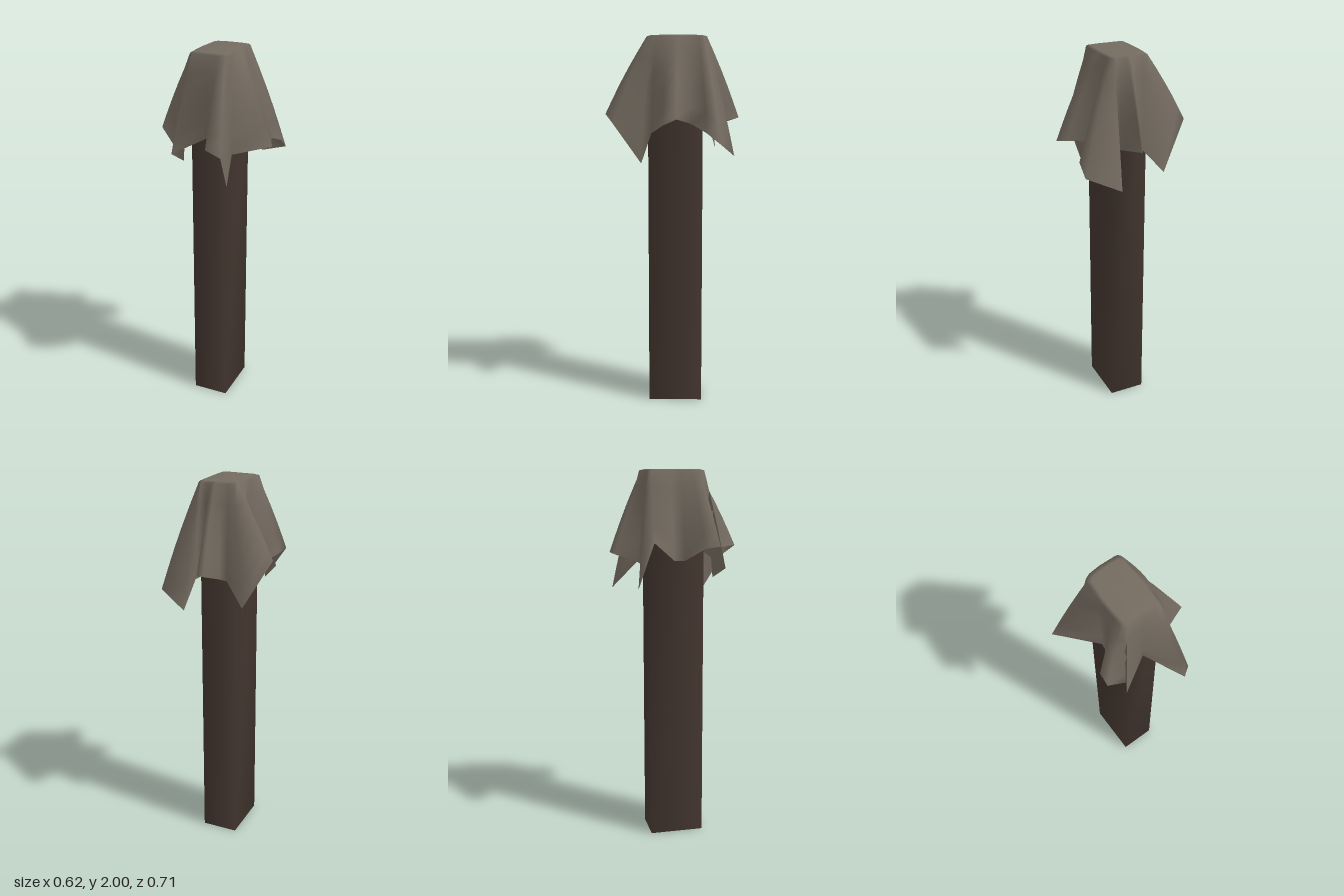
import * as THREE from 'three';
import { mergeVertices } from 'three/addons/utils/BufferGeometryUtils.js';

// Hem of the cloth, once round from the front towards +x:
// [hem x, y, z, rim x, rim z]; outer points are folds, inner points lie against the post
const HEM = [
  [-0.01, 1.57, 0.145, -0.01, 0.132],
  [0.08, 1.59, 0.355, 0.05, 0.136],
  [0.14, 1.54, 0.31, 0.085, 0.132],
  [0.11, 1.33, 0.165, 0.1, 0.12],
  [0.115, 1.49, 0.11, 0.103, 0.09],
  [0.307, 1.54, 0.045, 0.105, 0.03],
  [0.275, 1.57, -0.025, 0.104, -0.03],
  [0.113, 1.54, -0.1, 0.102, -0.09],
  [0.275, 1.5, -0.18, 0.1, -0.14],
  [0.275, 1.44, -0.255, 0.095, -0.165],
  [0.11, 1.37, -0.33, 0.085, -0.178],
  [0.105, 1.5, -0.2, 0.075, -0.182],
  [0.05, 1.53, -0.187, 0.05, -0.183],
  [0.02, 1.57, -0.355, 0.02, -0.184],
  [0, 1.56, -0.33, 0, -0.184],
  [-0.035, 1.52, -0.215, -0.03, -0.183],
  [-0.07, 1.51, -0.2, -0.07, -0.18],
  [-0.17, 1.39, -0.237, -0.095, -0.17],
  [-0.31, 1.64, -0.18, -0.105, -0.155],
  [-0.125, 1.53, -0.035, -0.113, -0.06],
  [-0.13, 1.53, 0.02, -0.114, 0],
  [-0.235, 1.6, 0.105, -0.112, 0.06],
  [-0.245, 1.61, 0.18, -0.11, 0.1],
  [-0.13, 1.44, 0.17, -0.108, 0.122],
  [-0.17, 1.49, 0.23, -0.095, 0.13],
];
const RIM_Y = 1.993;
const ROWS = 5;

function clothGeometry() {
  const n = HEM.length;
  const pos = [0, 2, -0.02];
  const index = [];
  // inner ring of the flat top
  for (const [, , , rx, rz] of HEM) pos.push(rx * 0.85, 2, (rz + 0.02) * 0.85 - 0.02);
  // rings running from the rim down to the hem
  for (let r = 0; r <= ROWS; r++) {
    const t = r / ROWS;
    const out = t + 0.04 * Math.sin(Math.PI * t);
    for (const [x, y, z, rx, rz] of HEM) {
      pos.push(rx + (x - rx) * out, RIM_Y + (y - RIM_Y) * t, rz + (z - rz) * out);
    }
  }
  for (let i = 0; i < n; i++) {
    const k = (i + 1) % n;
    index.push(0, 1 + i, 1 + k);
    for (let r = 0; r <= ROWS; r++) {
      const a = 1 + r * n, b = a + n;
      index.push(a + i, b + i, a + k, a + k, b + i, b + k);
    }
  }
  const g = new THREE.BufferGeometry();
  g.setAttribute('position', new THREE.Float32BufferAttribute(pos, 3));
  g.setIndex(index);
  g.computeVertexNormals();
  return g;
}

// Plain box with shared corners, so its shading runs softly round the edges
function postGeometry() {
  const box = new THREE.BoxGeometry(0.194, 1.985, 0.29);
  box.deleteAttribute('normal');
  box.deleteAttribute('uv');
  const g = mergeVertices(box);
  g.computeVertexNormals();
  return g;
}

export function createModel() {
  const wood = new THREE.MeshStandardMaterial({ color: 0x42352e });
  wood.name = 'dark wood';
  const fabric = new THREE.MeshStandardMaterial({ color: 0x746b60, side: THREE.DoubleSide });
  fabric.name = 'grey brown cloth';

  const model = new THREE.Group();
  model.name = 'drapedPost';

  const post = new THREE.Mesh(postGeometry(), wood);
  post.name = 'post';
  post.position.set(-0.005, 0.9925, -0.017);

  const cloth = new THREE.Mesh(clothGeometry(), fabric);
  cloth.name = 'drapedCloth';

  model.add(post, cloth);
  return model;
}
